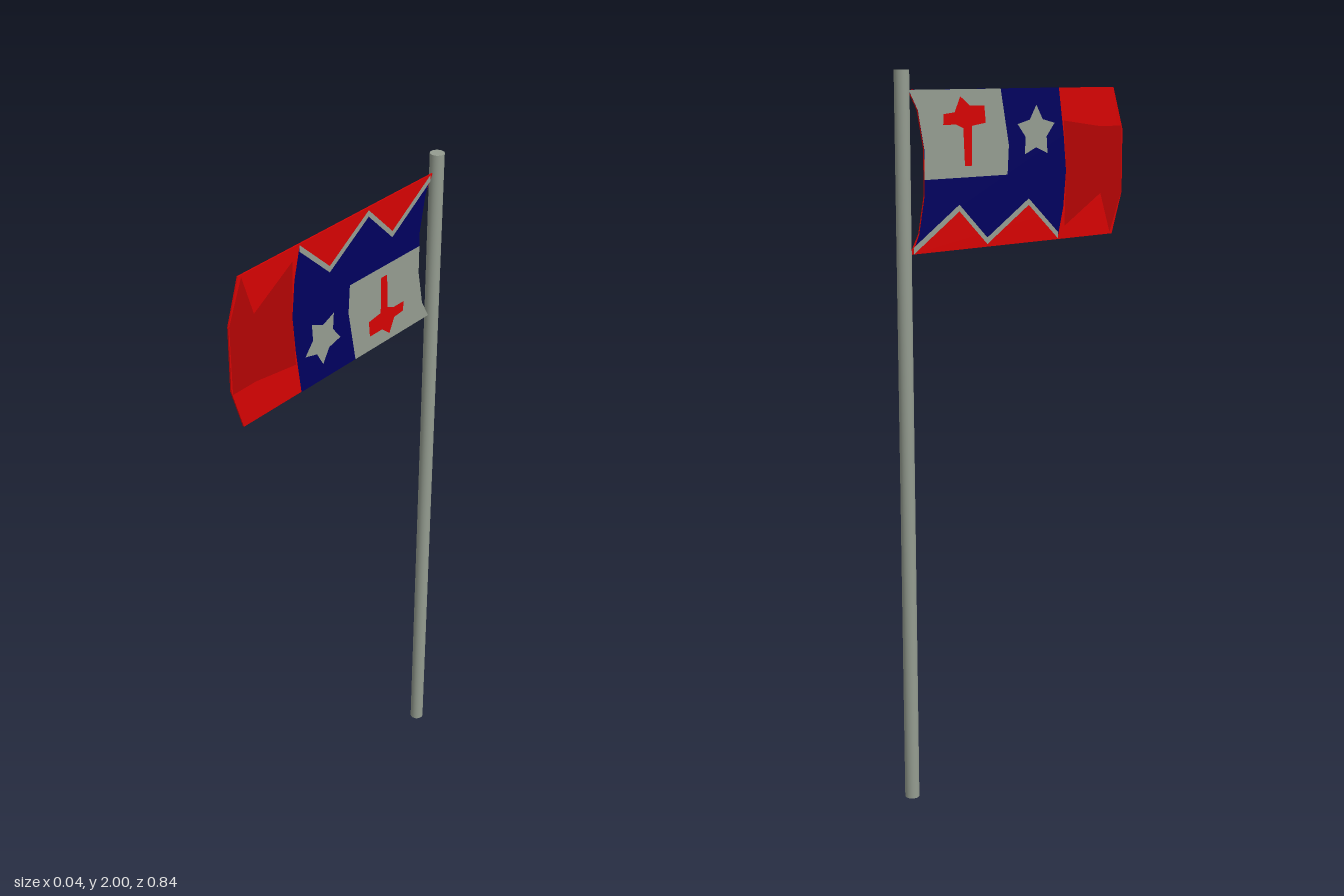
import * as THREE from 'three';

const mat = (name, color) => {
  const m = new THREE.MeshStandardMaterial({ color });
  m.name = name;
  return m;
};

// Flag coordinates are hundredths of a unit: [z, height from the flag's middle]
const MID_Y = 1.737;
const EDGE_DOWN = [[-33, 6], [-33, -6], [-35, -16], [-38, -21.2]];   // edge at the pole
const OUTLINE = [[38, 21], [42, 9], [42, -9], [38, -21], [-38, -21.2], [-35, -16], [-33, -6],
  [-33, 6], [-35, 16], [-38, 21.2]];
const ZIGZAG = [[16, 20], [4.5, 9.8], [-11, 19.5], [-21, 10], [-37, 20.3]];
const FIELD = [[16, -21.1], [18, -8], [19, 2], [18, 12], ...ZIGZAG, [-35, 16], ...EDGE_DOWN];
const BAND = [...ZIGZAG.map(([z, y]) => [z, y + 0.9]),
  ...ZIGZAG.slice().reverse().map(([z, y]) => [z, y - 0.9])];
const PANEL = [[-3.5, 2], [-33, 2], ...EDGE_DOWN.slice(1), [-6, -21.1], [-3, -6]];
const SHADE = [[37, 20.5], [33, 9], [18.5, 17.5], [19, 2], [18, -12], [33, -10], [41.5, -10], [41.8, 9]];
const CROSS = [[-16.5, -1], [-19, -1], [-19.5, -11], [-22, -12], [-26.5, -12], [-26.3, -14.8],
  [-22.5, -15.2], [-20.5, -19.3], [-17.2, -16.8], [-12, -16.8], [-11.5, -12.2], [-16.5, -11.5]];

// Five-pointed star with one point down
const STAR = Array.from({ length: 10 }, (_, i) => {
  const r = i % 2 ? 4.2 : 7.4;
  const a = -Math.PI / 2 + i * Math.PI / 5;
  return [7.3 + r * Math.cos(a), -9.2 + r * Math.sin(a)];
});

// Flat shape whose local x runs towards the pole, so that it faces +x once turned
const flagShape = (points) =>
  new THREE.Shape(points.map(([z, y]) => new THREE.Vector2(-z / 100, y / 100)));

export function createModel() {
  const red = mat('red', 0xd60202);
  const darkRed = mat('dark red', 0xb20303);
  const navy = mat('navy', 0x00005e);
  const grey = mat('grey', 0x949c90);

  const model = new THREE.Group();
  model.name = 'flagOnPole';

  // Pole
  const pole = new THREE.Mesh(new THREE.CylinderGeometry(0.02, 0.02, 2, 24), grey);
  pole.name = 'pole';
  pole.position.set(0, 1, -0.4);
  model.add(pole);

  // Thin cloth
  const THICK = 0.004;
  const cloth = new THREE.Mesh(
    new THREE.ExtrudeGeometry(flagShape(OUTLINE), { depth: THICK, bevelEnabled: false })
      .translate(0, 0, -THICK / 2).rotateY(Math.PI / 2), red);
  cloth.name = 'cloth';
  cloth.position.y = MID_Y;
  model.add(cloth);

  // Painted pieces of one face, stacked outwards towards +x
  const pieces = [
    ['darkPatch', SHADE, darkRed, 1],
    ['field', FIELD, navy, 1],
    ['zigzagBand', BAND, grey, 2],
    ['panel', PANEL, grey, 2],
    ['star', STAR, grey, 2],
    ['cross', CROSS, red, 3],
  ];
  const makeFace = (name) => {
    const face = new THREE.Group();
    face.name = name;
    for (const [part, points, material, layer] of pieces) {
      const geometry = new THREE.ShapeGeometry(flagShape(points)).rotateY(Math.PI / 2);
      const mesh = new THREE.Mesh(geometry, material);
      mesh.name = part;
      mesh.position.x = THICK / 2 + layer * 0.0006;
      face.add(mesh);
    }
    face.position.y = MID_Y;
    return face;
  };

  // The far face is the same design turned upside down
  const nearFace = makeFace('flagFace');
  const farFace = makeFace('flagFarFace');
  farFace.rotation.z = Math.PI;
  model.add(nearFace, farFace);
  return model;
}
